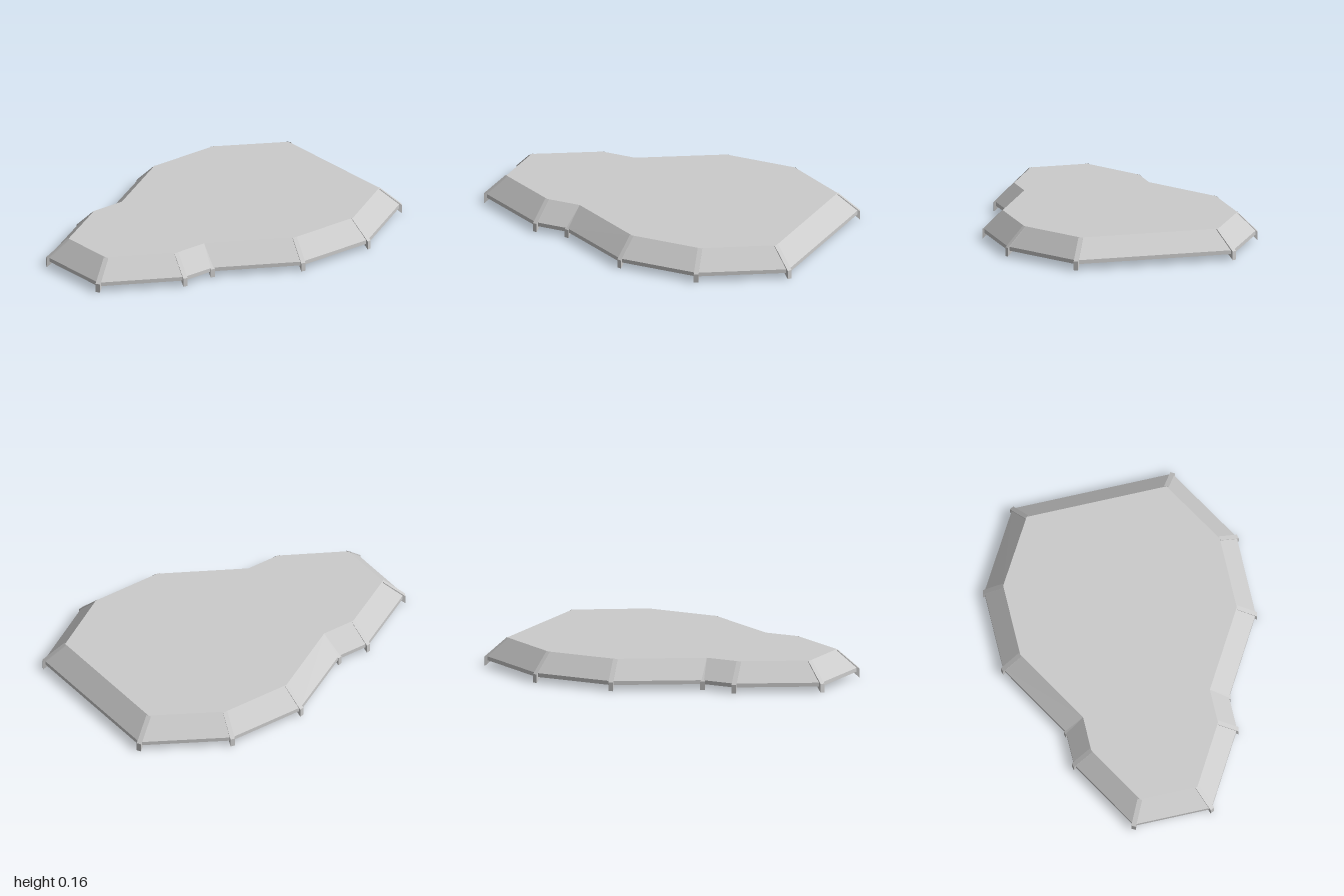
import * as THREE from 'three';

const material = new THREE.MeshStandardMaterial({ color: 0xcccccc, flatShading: true });

// Corners on the +z side, [outer x, outer z, inner x, inner z]
const half = [
  [-0.992, 0.222, -0.89, 0.165],
  [-0.568, 0.466, -0.545, 0.363],
  [-0.372, 0.466, -0.345, 0.363],
  [0.072, 0.722, 0.097, 0.62],
  [0.542, 0.722, 0.517, 0.62],
  [0.988, 0.457, 0.885, 0.4],
];
const corners = [...half, ...half.map(([a, b, c, d]) => [a, -b, c, -d]).reverse()];
const outer = corners.map(([x, z]) => [x, z]);
const inner = corners.map(([, , x, z]) => [x, z]);

const TOP = 0.16, EAVE = 0.055, LIP = 0.033;

function addMesh(parent, geometry, name) {
  const mesh = new THREE.Mesh(geometry, material);
  mesh.name = name;
  parent.add(mesh);
  return mesh;
}

// Closed band joining a series of outlines, each at its own height
function bandGeometry(rings) {
  const pos = [];
  const n = corners.length;
  const point = ([outline, y], i) => [outline[i % n][0], y, outline[i % n][1]];
  for (let k = 0; k < rings.length - 1; k++) {
    for (let i = 0; i < n; i++) {
      const a = point(rings[k], i), b = point(rings[k], i + 1);
      const c = point(rings[k + 1], i + 1), d = point(rings[k + 1], i);
      pos.push(...a, ...b, ...c, ...a, ...c, ...d);
    }
  }
  const geometry = new THREE.BufferGeometry();
  geometry.setAttribute('position', new THREE.Float32BufferAttribute(pos, 3));
  geometry.computeVertexNormals();
  return geometry;
}

// Sloping rib under a corner seam: a slanted bar with a vertical outer end
function ribGeometry(run) {
  const width = 0.026, past = 0.008;
  const slope = (TOP - EAVE) / run;
  const end = run + past, endTop = EAVE - slope * past + 0.002;
  const shape = new THREE.Shape([
    new THREE.Vector2(0, TOP - 0.052),
    new THREE.Vector2(end, 0),
    new THREE.Vector2(end, endTop),
    new THREE.Vector2(0, TOP),
  ]);
  const geometry = new THREE.ExtrudeGeometry(shape, { depth: width, bevelEnabled: false });
  return geometry.translate(0, 0, -width / 2);
}

export function createModel() {
  const model = new THREE.Group();
  model.name = 'canopyRoof';

  // Thin flat deck
  const shape = new THREE.Shape(inner.map(([x, z]) => new THREE.Vector2(x, -z)));
  const deck = new THREE.ExtrudeGeometry(shape, { depth: 0.004, bevelEnabled: false });
  deck.rotateX(-Math.PI / 2).translate(0, TOP - 0.004, 0);
  addMesh(model, deck, 'deck');

  // Sloping skirt with its inner face, underside, lip and outer slope
  addMesh(model, bandGeometry([
    [inner, TOP],
    [inner, 0.133],
    [outer, LIP],
    [outer, EAVE],
    [inner, TOP],
  ]), 'skirt');

  // One rib at every corner, following the seam
  const ribs = new THREE.Group();
  ribs.name = 'ribs';
  corners.forEach(([ox, oz, ix, iz]) => {
    const dx = ox - ix, dz = oz - iz;
    const rib = addMesh(ribs, ribGeometry(Math.hypot(dx, dz)), 'rib');
    rib.position.set(ix, 0, iz);
    rib.rotation.y = Math.atan2(-dz, dx);
  });
  model.add(ribs);
  return model;
}
